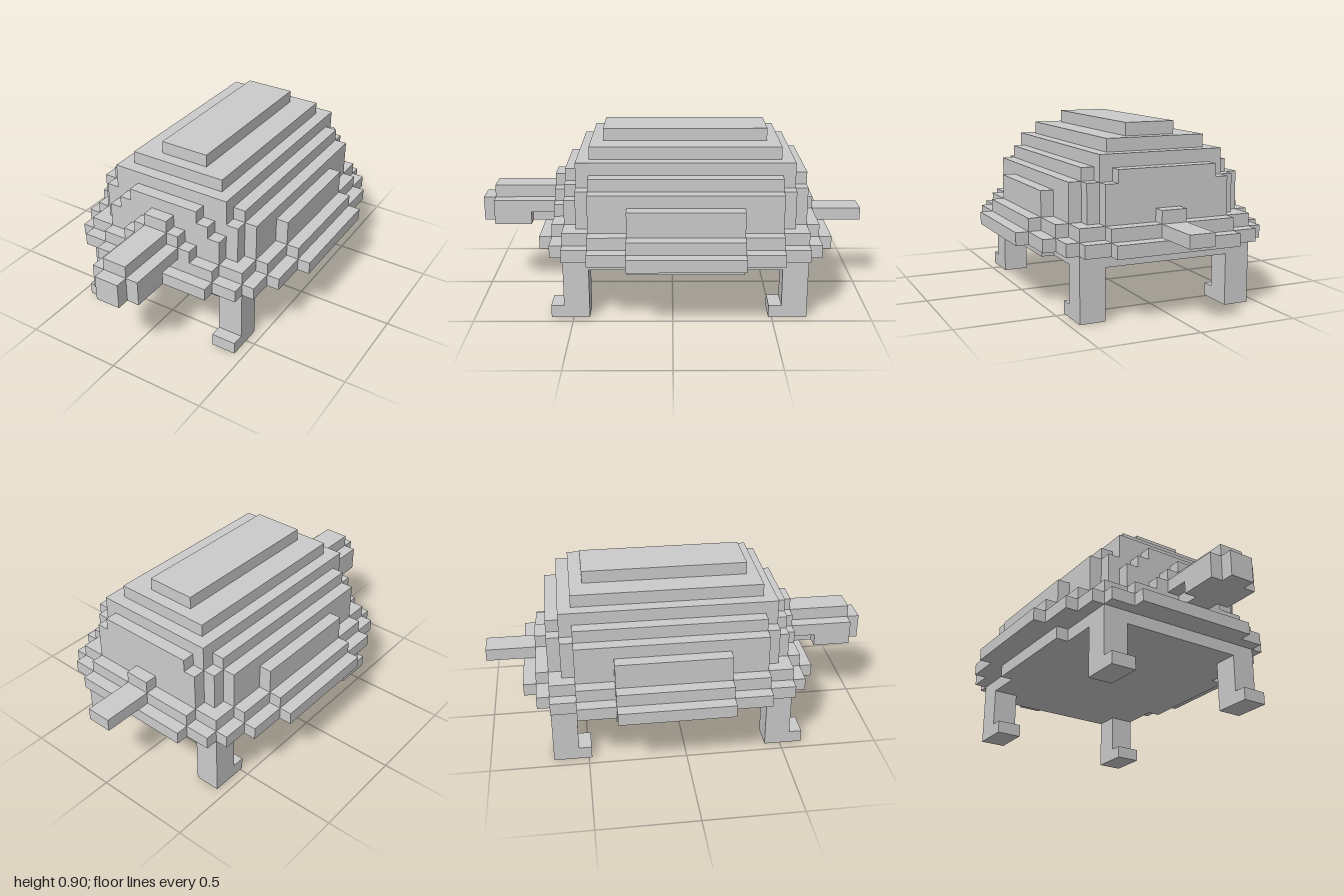
import * as THREE from 'three';

const U = 2 / 31; // one voxel
const material = new THREE.MeshStandardMaterial({ color: 0xcccccc, flatShading: true });

// Box between voxel coordinates
function block(parent, name, x0, x1, y0, y1, z0, z1) {
  const geometry = new THREE.BoxGeometry((x1 - x0) * U, (y1 - y0) * U, (z1 - z0) * U);
  const mesh = new THREE.Mesh(geometry, material);
  mesh.name = name;
  mesh.position.set((x0 + x1) / 2 * U, (y0 + y1) / 2 * U, (z0 + z1) / 2 * U);
  parent.add(mesh);
}

// Blocks centred on x, each [halfWidth, y0, y1, z0, z1]
function part(root, name, rows) {
  const group = new THREE.Group();
  group.name = name;
  for (const [w, ...r] of rows) block(group, name + 'Block', -w, w, ...r);
  root.add(group);
  return group;
}

export function createModel() {
  const root = new THREE.Group();
  root.name = 'turtle';

  // Belly plate
  part(root, 'belly', [
    [8, 4, 5, -5.5, 3.5],
    [7, 4, 5, -8.5, 6.5],
    [5, 4, 5, -10.5, 8.5],
  ]);

  // Wide stepped rim and the smaller step above it
  part(root, 'shellRim', [
    [10, 5, 6, -5.5, 3.5],
    [9, 5, 6, -8.5, 6.5],
    [8, 5, 6, -10.5, 8.5],
    [7, 5, 6, -11.5, 9.5],
    [5, 5, 6, -12.5, 10.5],
    [9, 6, 7, -5.5, 3.5],
    [8, 6, 7, -8.5, 6.5],
    [7, 6, 7, -10.5, 8.5],
    [5, 6, 7, -11.5, 9.5],
  ]);

  // Domed shell with side slabs
  part(root, 'shell', [
    [8, 6, 9, -5.5, 3.5],
    [7, 6, 10, -8.5, 6.5],
    [6, 6, 10, -9.5, 7.5],
    [6, 10, 11, -8.5, 6.5],
    [5, 10, 12, -9.5, 7.5],
    [4, 12, 13, -8.5, 6.5],
    [2, 13, 14, -7.5, 5.5],
  ]);

  // Stepped arches on the front of the shell
  part(root, 'frontArch', [
    [5, 6, 9, 7.5, 8.5],
    [4, 9, 10, 7.5, 8.5],
    [3, 10, 11, 7.5, 8.5],
    [3, 6, 8, 8.5, 9.5],
    [2, 8, 9, 8.5, 9.5],
    [1, 9, 10, 8.5, 9.5],
  ]);

  // Panel on the back of the shell
  part(root, 'backPanel', [
    [5, 6, 10, -10.5, -9.5],
    [4, 10, 11, -10.5, -9.5],
    [1, 7, 8, -11.5, -10.5],
  ]);

  // Head with crest, snout and narrower neck
  part(root, 'head', [
    [2, 7, 8, 9.5, 14.5],
    [2, 6, 7, 11.5, 14.5],
    [1, 6, 7, 9.5, 11.5],
    [1, 8, 9, 9.5, 14.5],
    [1, 6, 8, 14.5, 15.5],
  ]);

  part(root, 'tail', [[1, 6, 7, -15.5, -11.5]]);

  // Legs with forward toes
  for (const [name, back] of [['frontLeg', 6.5], ['backLeg', -10.5]]) {
    for (const x of [-7, 5]) {
      const leg = part(root, name, []);
      block(leg, name + 'Post', x, x + 2, 0, 5, back, back + 2);
      block(leg, name + 'Toe', x, x + 2, 0, 1, back + 2, back + 3);
    }
  }
  return root;
}
